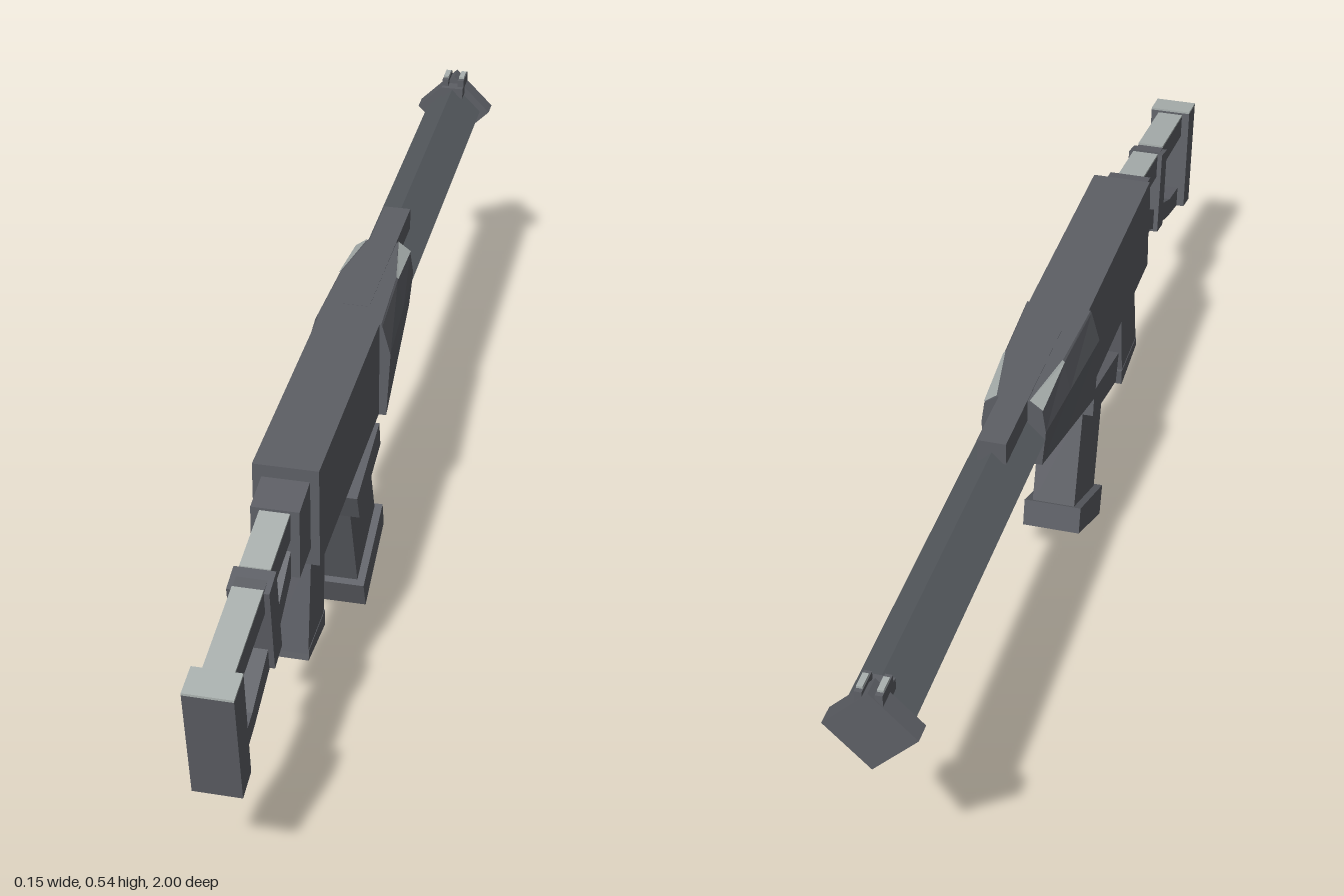
import * as THREE from 'three';

const flat = (name, color) => new THREE.MeshStandardMaterial({ name, color, flatShading: true });

export function createModel() {
  const body = flat('dark grey', 0x5d5f65);
  const steel = flat('barrel steel', 0x595e63);
  const pale = flat('pale grey', 0xaab1af);
  pale.side = THREE.DoubleSide;
  const model = new THREE.Group();

  const add = (name, geometry, material = body) => {
    const mesh = new THREE.Mesh(geometry, material);
    mesh.name = name;
    model.add(mesh);
    return mesh;
  };

  // Side profile of [z, y] points, extruded evenly across x
  const slab = (name, points, width, material) => {
    const shape = new THREE.Shape(points.map(([z, y]) => new THREE.Vector2(z, y)));
    const g = new THREE.ExtrudeGeometry(shape, { depth: width, bevelEnabled: false });
    g.translate(0, 0, -width / 2).rotateY(-Math.PI / 2);
    return add(name, g, material);
  };

  // Thin pale plate lying on an edge between two [z, y] points
  const topPlate = (name, [z0, y0], [z1, y1], width) =>
    slab(name, [[z0, y0], [z1, y1], [z1, y1 + 0.004], [z0, y0 + 0.004]], width, pale);

  // Receiver
  slab('receiver', [[0.52, 0.35], [0.52, 0.535], [0.05, 0.535], [0.05, 0.35]], 0.11);

  // Handguard: half sections from bottom to top, mirrored and joined
  const sections = [
    { z: 0.055, half: [[0.068, 0.348], [0.075, 0.475], [0.06, 0.531], [0.058, 0.535]] },
    { z: -0.11, half: [[0.058, 0.38], [0.065, 0.475], [0.054, 0.531], [0.051, 0.535]] },
    { z: -0.24, half: [[0.05, 0.405], [0.057, 0.475], [0.051, 0.517], [0.028, 0.534]] },
  ];
  const positions = [];
  const indices = [];
  const n = 8;
  sections.forEach(({ z, half }) => {
    half.forEach(([x, y]) => positions.push(x, y, z));
    [...half].reverse().forEach(([x, y]) => positions.push(-x, y, z));
  });
  for (let s = 0; s < 2; s++) {
    for (let i = 0; i < n; i++) {
      const a = s * n + i, b = s * n + (i + 1) % n;
      indices.push(a, b + n, b, a, a + n, b + n);
    }
  }
  for (let i = 1; i < n - 1; i++) {
    indices.push(0, i, i + 1, 2 * n, 2 * n + i + 1, 2 * n + i);
  }
  let guard = new THREE.BufferGeometry();
  guard.setAttribute('position', new THREE.Float32BufferAttribute(positions, 3));
  guard.setIndex(indices);
  guard = guard.toNonIndexed();
  guard.computeVertexNormals();
  add('handguard', guard);

  // Pale worn patches on the front top bevels
  for (const side of [-1, 1]) {
    const patch = new THREE.BufferGeometry();
    const corners = [[0.055, 0.533, -0.11], [0.052, 0.519, -0.24], [0.029, 0.536, -0.24], [0.051, 0.537, -0.11]];
    patch.setAttribute('position', new THREE.Float32BufferAttribute(
      corners.flatMap(([x, y, z]) => [side * x, y, z]), 3));
    patch.setIndex(side > 0 ? [0, 1, 2, 0, 2, 3] : [0, 2, 1, 0, 3, 2]);
    patch.computeVertexNormals();
    add('handguardPatch', patch, pale);
  }

  // Top rail
  slab('topRail', [[0, 0.495], [0, 0.5355], [-0.37, 0.5355], [-0.37, 0.495]], 0.05);

  // Square barrel and muzzle, both standing on a corner
  const diamond = (name, r, z0, z1, material) => {
    const g = new THREE.CylinderGeometry(r, r, z1 - z0, 4).rotateX(Math.PI / 2);
    add(name, g.translate(0, 0.459, (z0 + z1) / 2), material);
  };
  diamond('barrel', 0.056, -0.98, -0.2, steel);
  diamond('muzzle', 0.075, -1, -0.965, body);

  // Front sight with two posts
  slab('frontSightBase', [[-0.94, 0.497], [-0.94, 0.518], [-0.998, 0.518], [-0.998, 0.497]], 0.044);
  for (const side of [-1, 1]) {
    slab('frontSightPost', [[-0.95, 0.515], [-0.95, 0.532], [-0.998, 0.532], [-0.998, 0.515]], 0.012)
      .position.x = side * 0.016;
    topPlate('frontSightTop', [-0.96, 0.532], [-0.99, 0.532], 0.01).position.x = side * 0.016;
  }

  // Skeleton stock
  slab('stockMount', [[0.595, 0.378], [0.592, 0.503], [0.515, 0.513], [0.515, 0.383]], 0.08);
  slab('upperStrut', [[0.95, 0.405], [0.95, 0.448], [0.585, 0.497], [0.585, 0.45]], 0.05);
  topPlate('upperStrutTop', [0.95, 0.448], [0.765, 0.473], 0.05);
  topPlate('upperStrutTop', [0.72, 0.479], [0.594, 0.496], 0.05);
  slab('stockClamp', [[0.765, 0.47], [0.72, 0.481], [0.695, 0.318], [0.742, 0.308]], 0.068);
  slab('lowerStrutRear', [[0.93, 0.247], [0.835, 0.272], [0.73, 0.31], [0.74, 0.352], [0.85, 0.305], [0.94, 0.287]], 0.05);
  slab('lowerStrutFront', [[0.71, 0.316], [0.71, 0.36], [0.585, 0.432], [0.585, 0.381]], 0.05);
  slab('buttPlate', [[1, 0.45], [0.945, 0.457], [0.92, 0.25], [0.97, 0.24]], 0.08);
  topPlate('buttTop', [1, 0.45], [0.945, 0.457], 0.08);

  // Pistol grip with a small lip at its foot
  slab('grip', [[0.493, 0.355], [0.39, 0.355], [0.41, 0.15], [0.523, 0.165]], 0.068);
  slab('gripFoot', [[0.521, 0.172], [0.402, 0.168], [0.404, 0.137], [0.525, 0.153]], 0.07);

  // Trigger and its guard
  slab('triggerGuard', [[0.4, 0.285], [0.37, 0.264], [0.25, 0.262], [0.25, 0.277], [0.37, 0.28], [0.395, 0.3]], 0.03);
  slab('triggerGuardFront', [[0.265, 0.355], [0.265, 0.262], [0.245, 0.262], [0.245, 0.355]], 0.03);
  slab('trigger', [[0.385, 0.355], [0.372, 0.355], [0.367, 0.32], [0.35, 0.298], [0.358, 0.295], [0.379, 0.317]], 0.018);

  // Magazine well, magazine and its foot
  slab('magazineNeck', [[0.255, 0.37], [0.09, 0.37], [0.085, 0.3], [0.25, 0.27]], 0.08);
  slab('magazineWell', [[0.265, 0.308], [0.08, 0.346], [0.07, 0.295], [0.245, 0.255]], 0.122);
  slab('magazine', [[0.237, 0.28], [0.083, 0.31], [0.015, 0.11], [0.165, 0.055]], 0.08);
  slab('magazineFoot', [[0.178, 0.055], [0.012, 0.122], [0, 0.072], [0.16, 0]], 0.108);

  return model;
}
